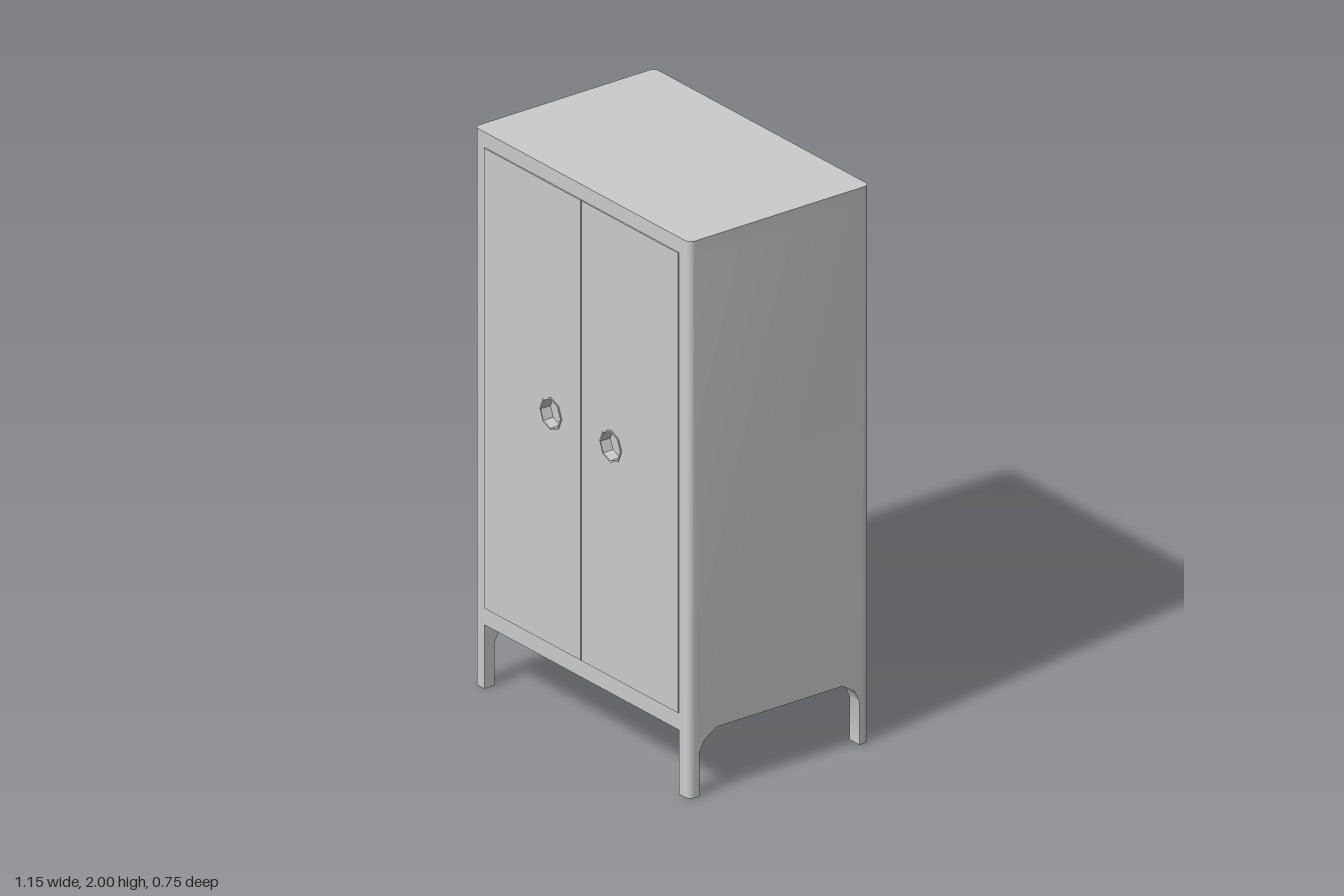
import * as THREE from 'three';
import { toCreasedNormals } from 'three/addons/utils/BufferGeometryUtils.js';

const HALF_W = 0.575, SIDE_T = 0.055, INNER = HALF_W - SIDE_T;
const HALF_D = 0.372, Z_MID = -0.003, R = 0.022;
const FLOOR_Y = 0.23, RAIL_Y = 0.29, TOP_Y = 1.945;
const FRONT = Z_MID + HALF_D, BACK = Z_MID - HALF_D;
const PULL_X = 0.16, PULL_Y = 1.12, PULL_R = 0.058;

const material = new THREE.MeshStandardMaterial({ color: 0xcccccc });

function part(name, geometry, parent) {
  const mesh = new THREE.Mesh(geometry, material);
  mesh.name = name;
  parent.add(mesh);
  return mesh;
}

// Box given by its minimum and maximum corners
function box(name, parent, [x0, y0, z0], [x1, y1, z1]) {
  const mesh = part(name, new THREE.BoxGeometry(x1 - x0, y1 - y0, z1 - z0), parent);
  mesh.position.set((x0 + x1) / 2, (y0 + y1) / 2, (z0 + z1) / 2);
  return mesh;
}

// Side panel and its two legs in one sheet, with rounded outer upright edges
function sideGeometry() {
  const cut = [[0.33, 0], [0.33, 0.155], [0.31, 0.197], [0.26, FLOOR_Y]];
  const shape = new THREE.Shape([
    [HALF_D, TOP_Y], [-HALF_D, TOP_Y], [-HALF_D, 0],
    ...cut.map(([z, y]) => [-z, y]),
    ...cut.slice().reverse(),
    [HALF_D, 0],
  ].map(([z, y]) => new THREE.Vector2(z, y)));
  const steps = 6;
  const geo = new THREE.ExtrudeGeometry(shape, { depth: SIDE_T, steps, bevelEnabled: false });
  const p = geo.attributes.position;
  for (let i = 0; i < p.count; i++) {
    const k = Math.round(p.getZ(i) / SIDE_T * steps);
    if (k === 0) continue;
    const a = (k - 1) / (steps - 1) * Math.PI / 2;
    p.setZ(i, SIDE_T - R + R * Math.sin(a));
    const x = p.getX(i);
    if (Math.abs(x) > HALF_D - 0.001) p.setX(i, Math.sign(x) * (HALF_D - R * (1 - Math.cos(a))));
  }
  geo.rotateY(Math.PI / 2);
  geo.translate(INNER, 0, 0);
  return toCreasedNormals(geo, 0.6);
}

// Top board with rounded corners in plan
function topGeometry() {
  const s = new THREE.Shape(), w = HALF_W - R, d = HALF_D - R;
  s.absarc(w, d, R, 0, Math.PI / 2);
  s.absarc(-w, d, R, Math.PI / 2, Math.PI);
  s.absarc(-w, -d, R, Math.PI, Math.PI * 1.5);
  s.absarc(w, -d, R, Math.PI * 1.5, Math.PI * 2);
  const geo = new THREE.ExtrudeGeometry(s, { depth: 2 - TOP_Y, bevelEnabled: false, curveSegments: 6 });
  geo.rotateX(-Math.PI / 2);
  return toCreasedNormals(geo, 0.6);
}

// Door leaf with an eight-sided finger hole
function doorGeometry(side) {
  const x0 = side * 0.0015, x1 = side * (INNER - 0.0015), y0 = RAIL_Y + 0.0015, y1 = TOP_Y - 0.0015;
  const s = new THREE.Shape([[x0, y0], [x1, y0], [x1, y1], [x0, y1]].map((q) => new THREE.Vector2(...q)));
  const hole = [];
  for (let i = 0; i < 8; i++) {
    const a = i * Math.PI / 4, r = PULL_R - 0.003;
    hole.push(new THREE.Vector2(side * PULL_X + r * Math.cos(a), PULL_Y + r * Math.sin(a)));
  }
  s.holes.push(new THREE.Path(hole));
  return new THREE.ExtrudeGeometry(s, { depth: 0.03, bevelEnabled: false });
}

// Recessed cup with a thin raised rim, opening toward +z
function cupGeometry() {
  const profile = [[0, -0.036], [0.05, -0.036], [0.052, 0.003], [PULL_R, 0.003], [PULL_R, -0.002]];
  const geo = new THREE.LatheGeometry(profile.map((q) => new THREE.Vector2(...q)).reverse(), 8);
  geo.rotateX(Math.PI / 2);
  return toCreasedNormals(geo, 0.5);
}

export function createModel() {
  const model = new THREE.Group();
  model.name = 'cabinet';

  // Sides with legs
  const side = sideGeometry();
  for (const [name, turn] of [['leftSide', 0], ['rightSide', Math.PI]]) {
    const mesh = part(name, side, model);
    mesh.rotation.y = turn;
    mesh.position.z = Z_MID;
  }

  // Carcass
  part('topBoard', topGeometry(), model).position.set(0, TOP_Y, Z_MID);
  box('bottomBoard', model, [-INNER, FLOOR_Y, BACK + 0.03], [INNER, RAIL_Y, FRONT - 0.03]);
  box('frontRail', model, [-INNER, FLOOR_Y, FRONT - 0.03], [INNER, RAIL_Y, FRONT]);
  box('backRail', model, [-INNER, FLOOR_Y, BACK], [INNER, RAIL_Y, BACK + 0.03]);
  box('backPanel', model, [-INNER, RAIL_Y, BACK], [INNER, TOP_Y, BACK + 0.03]);

  // Doors with finger pulls
  const cup = cupGeometry();
  for (const [name, s] of [['left', 1], ['right', -1]]) {
    const door = new THREE.Group();
    door.name = name + 'Door';
    door.position.z = FRONT + 0.003;
    part(name + 'DoorLeaf', doorGeometry(s), door).position.z = -0.03;
    part(name + 'FingerPull', cup, door).position.set(s * PULL_X, PULL_Y, 0);
    model.add(door);
  }
  // Lathe profile is wound for an outward-facing rim and an inward-facing cup
  material.side = THREE.DoubleSide;
  return model;
}
